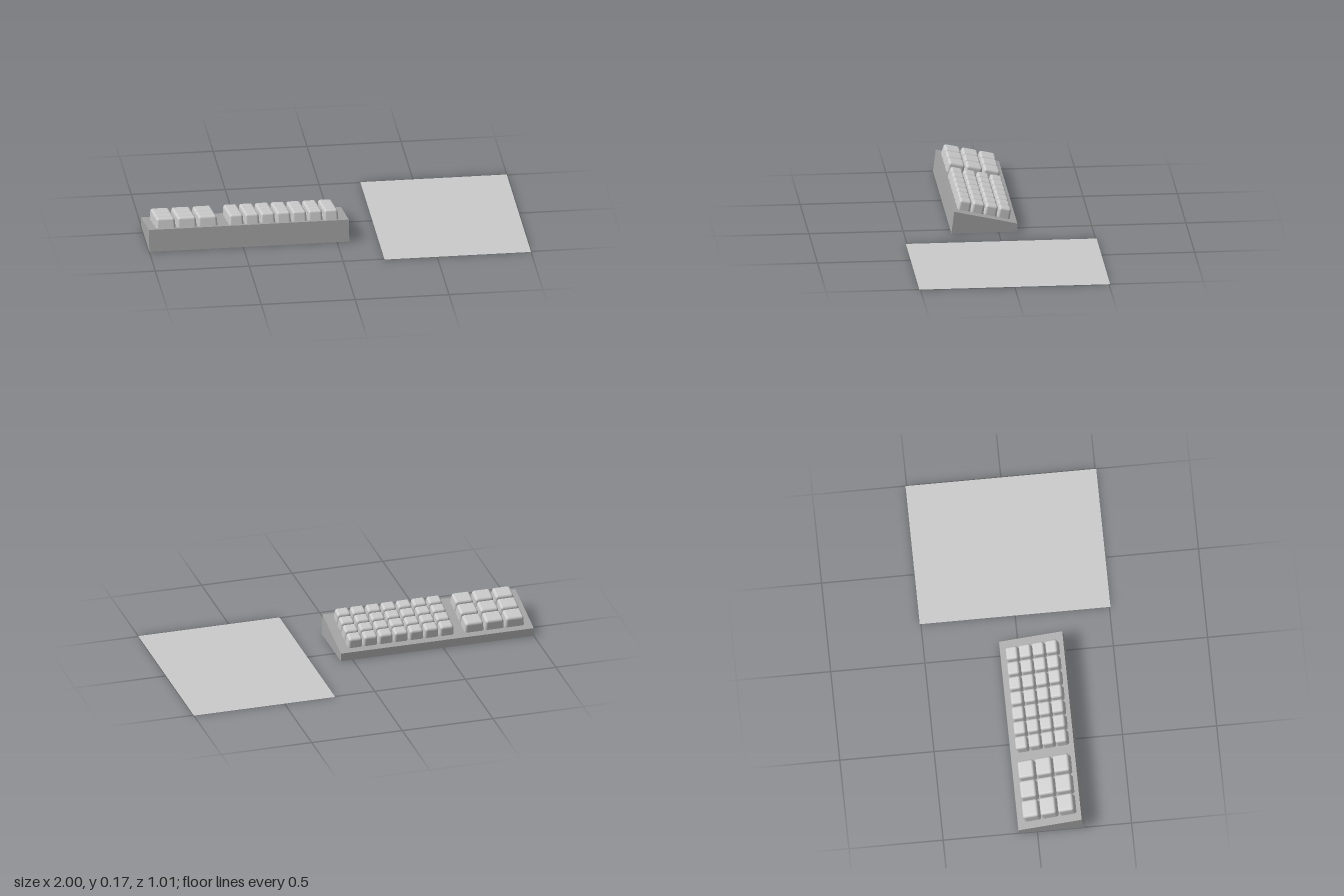
import * as THREE from 'three';
import { RoundedBoxGeometry } from 'three/addons/geometries/RoundedBoxGeometry.js';

const mat = (name, color, side = THREE.FrontSide) => {
  const m = new THREE.MeshStandardMaterial({ color, side });
  m.name = name;
  return m;
};

// Rounded keycap standing on y = 0, narrowing slightly towards its top
function keycap(width, height, depth) {
  const g = new RoundedBoxGeometry(width, height + 0.02, depth, 3, 0.014);
  g.translate(0, height / 2 - 0.01, 0);
  const p = g.attributes.position;
  for (let i = 0; i < p.count; i++) {
    const k = 1 - 0.1 * Math.max(0, p.getY(i) / height);
    p.setX(i, p.getX(i) * k);
    p.setZ(i, p.getZ(i) * k);
  }
  return g;
}

export function createModel() {
  const model = new THREE.Group();
  model.name = 'keyboardAndSheet';
  const caseGrey = mat('caseGrey', 0xa6a6a6);
  const keyGrey = mat('keyGrey', 0xcccccc);
  const sheetGrey = mat('sheetGrey', 0xcacaca, THREE.DoubleSide);

  // Wedge case: side profile (z, y) extruded along x
  const profile = new THREE.Shape([[0.25, 0], [0.235, 0.12], [-0.1, 0.045], [-0.1, 0]]
    .map(([z, y]) => new THREE.Vector2(-z, y)));
  const caseGeo = new THREE.ExtrudeGeometry(profile, { depth: 1.065, bevelEnabled: false });
  caseGeo.rotateY(Math.PI / 2);
  caseGeo.translate(-1, 0, 0);
  const body = new THREE.Mesh(caseGeo, caseGrey);
  body.name = 'wedgeCase';
  model.add(body);

  // Key deck: lies on the slope, origin at the tall front edge
  const deck = new THREE.Group();
  deck.name = 'keyDeck';
  deck.position.set(0, 0.12, 0.235);
  deck.rotation.x = -Math.atan2(0.075, 0.335);
  model.add(deck);

  function keyBlock(name, x0, x1, cols, rows) {
    const block = new THREE.Group();
    block.name = name;
    const z0 = -0.022, z1 = -0.309;
    const dx = (x1 - x0) / cols, dz = (z1 - z0) / rows;
    const geo = keycap(dx - 0.005, 0.055, -dz - 0.002);
    for (let r = 0; r < rows; r++) {
      for (let c = 0; c < cols; c++) {
        const key = new THREE.Mesh(geo, keyGrey);
        key.name = 'key';
        key.position.set(x0 + (c + 0.5) * dx, 0, z0 + (r + 0.5) * dz);
        block.add(key);
      }
    }
    deck.add(block);
  }
  keyBlock('largeKeys', -0.962, -0.627, 3, 3);
  keyBlock('smallKeys', -0.573, 0.016, 7, 4);

  // Flat sheet lying on the ground beside the keyboard
  const sheet = new THREE.Mesh(new THREE.PlaneGeometry(0.78, 1.012).rotateX(-Math.PI / 2), sheetGrey);
  sheet.name = 'flatSheet';
  sheet.position.set(0.61, 0, 0);
  model.add(sheet);

  return model;
}
